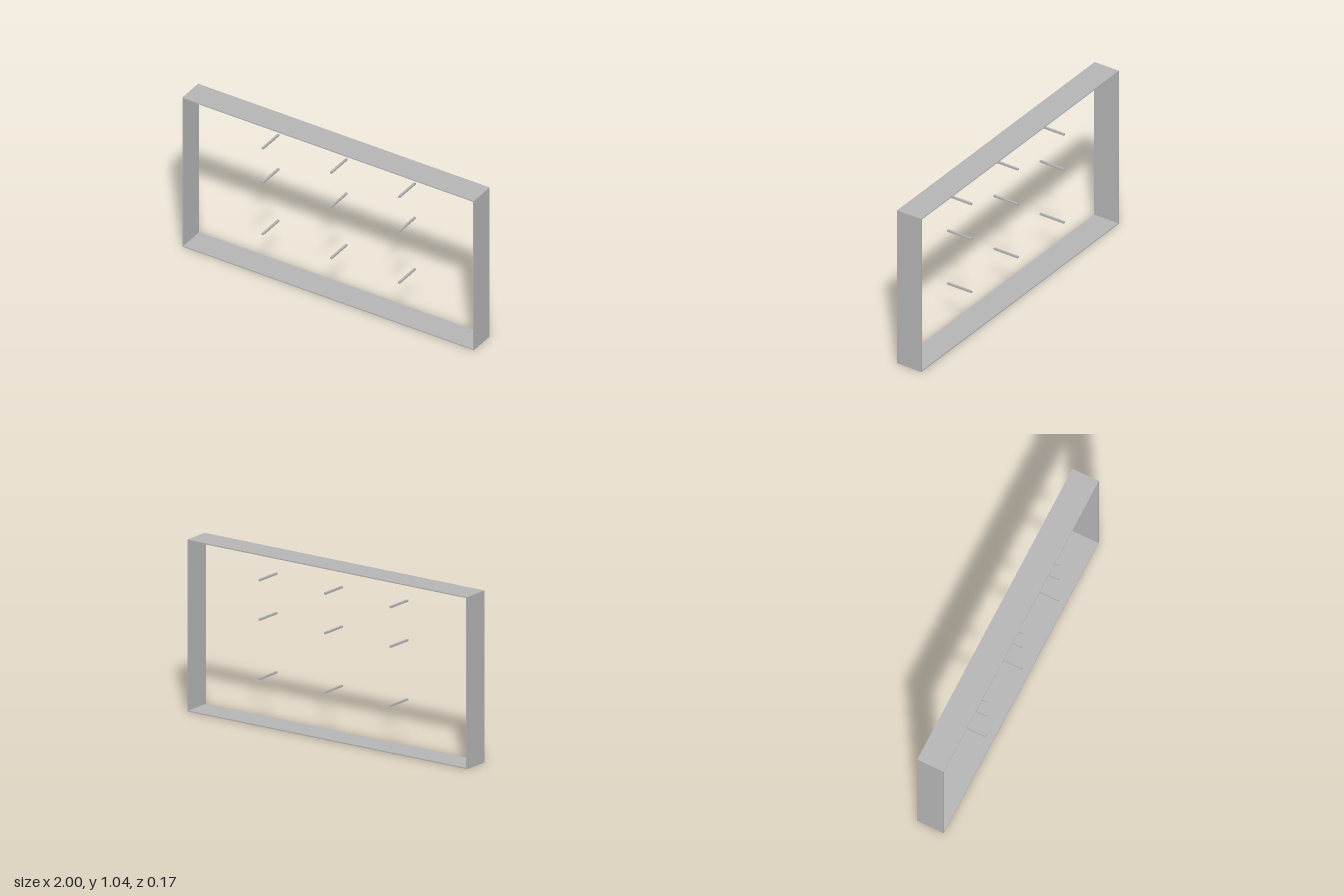
import * as THREE from 'three';

const WIDTH = 2, HEIGHT = 1.036, DEPTH = 0.17, BOARD = 0.007, PEG = 0.012;

export function createModel() {
  const model = new THREE.Group();
  model.name = 'openFrameWithPegs';
  const grey = new THREE.MeshStandardMaterial({ color: 0xb4b4b4 });
  grey.name = 'plainGrey';

  function addBox(parent, name, w, h, x, y) {
    const mesh = new THREE.Mesh(new THREE.BoxGeometry(w, h, DEPTH), grey);
    mesh.name = name;
    mesh.position.set(x, y, 0);
    parent.add(mesh);
  }

  // Thin boards: top and bottom run full width, the sides fit between them
  const frame = new THREE.Group();
  frame.name = 'frame';
  addBox(frame, 'bottomBoard', WIDTH, BOARD, 0, BOARD / 2);
  addBox(frame, 'topBoard', WIDTH, BOARD, 0, HEIGHT - BOARD / 2);
  for (const [name, side] of [['leftBoard', 1], ['rightBoard', -1]]) {
    addBox(frame, name, BOARD, HEIGHT - 2 * BOARD, side * (WIDTH - BOARD) / 2, HEIGHT / 2);
  }
  model.add(frame);

  // Three rows of slim square pegs spanning the frame depth
  const pegs = new THREE.Group();
  pegs.name = 'pegs';
  for (const y of [0.285, 0.642, 0.88]) {
    for (const x of [-0.449, 0.019, 0.487]) addBox(pegs, 'peg', PEG, PEG, x, y);
  }
  model.add(pegs);

  return model;
}
